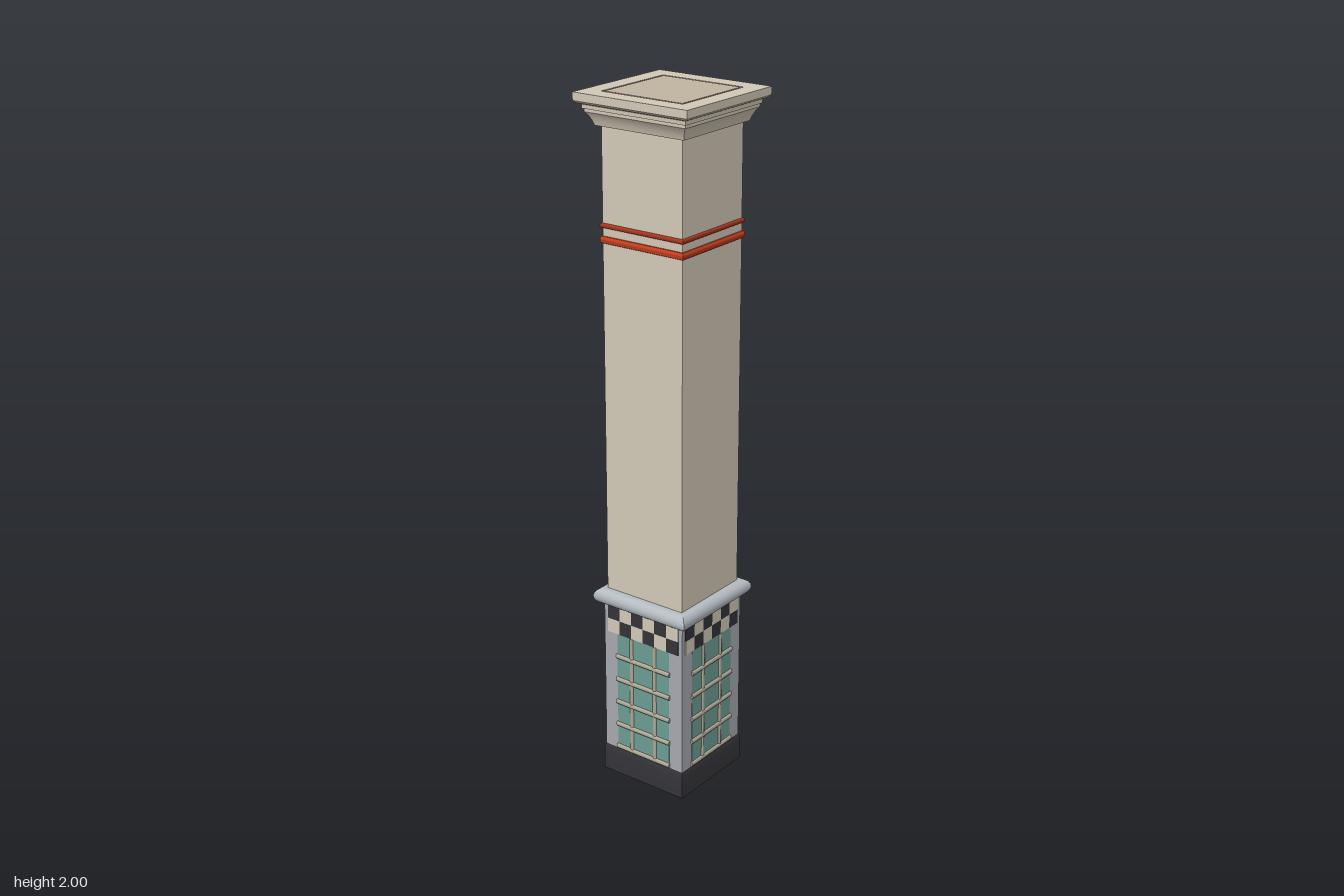
import * as THREE from 'three';
import { toCreasedNormals } from 'three/addons/utils/BufferGeometryUtils.js';

const mat = (color) => new THREE.MeshStandardMaterial({ color, roughness: 0.8 });
const cream = mat(0xd2c8b6), coreTan = mat(0xc0b4a0), red = mat(0xc8401f), darkRed = mat(0xa8351c);
const grey = mat(0xa6a9b0), paleGrey = mat(0xb4bbc1), black = mat(0x333338);
const green = mat(0x6b9c92), bar = mat(0xb0a897);

function add(parent, name, geometry, material, x = 0, y = 0, z = 0) {
  const mesh = new THREE.Mesh(geometry, material);
  mesh.name = name;
  mesh.position.set(x, y, z);
  parent.add(mesh);
  return mesh;
}

// Sweeps a [half width, height] profile round a square plan
function squareRing(profile) {
  const pts = profile.map(([r, y]) => new THREE.Vector2(r * Math.SQRT2, y));
  const g = new THREE.LatheGeometry(pts, 4);
  g.rotateY(Math.PI / 4);
  return toCreasedNormals(g, 0.6);
}

// Half-round edge between two heights
function roundEdge(r, y0, y1, depth, n = 8) {
  const pts = [];
  for (let i = 0; i <= n; i++) {
    const a = -Math.PI / 2 + (Math.PI * i) / n;
    pts.push([r - depth + Math.cos(a) * depth, (y0 + y1) / 2 + (Math.sin(a) * (y1 - y0)) / 2]);
  }
  return pts;
}

// One tiled face of the pedestal, facing +z
function createFace() {
  const face = new THREE.Group();
  add(face, 'tilePanel', new THREE.BoxGeometry(0.185, 0.375, 0.01), green, 0, 0.2675, 0.134);

  // Raised rounded bars dividing the tiles
  const upright = new THREE.CylinderGeometry(0.007, 0.007, 0.37, 8);
  for (const x of [-0.041, 0.041]) add(face, 'uprightBar', upright, bar, x, 0.27, 0.1365);
  const cross = new THREE.CylinderGeometry(0.008, 0.008, 0.19, 8).rotateZ(Math.PI / 2);
  for (let i = 0; i < 5; i++) add(face, 'crossBar', cross, bar, 0, 0.09 + i * 0.0735, 0.137);

  // Two-row chequered band
  const cell = new THREE.BoxGeometry(0.0415, 0.043, 0.01);
  for (let row = 0; row < 2; row++) {
    for (let col = 0; col < 6; col++) {
      const dark = (row + col) % 2 === 0;
      add(face, dark ? 'darkCheck' : 'lightCheck', cell, dark ? black : cream,
        (col - 2.5) * 0.0415, 0.5195 - row * 0.043, 0.1352);
    }
  }
  return face;
}

export function createModel() {
  const group = new THREE.Group();

  // Core and plain shaft
  add(group, 'core', new THREE.BoxGeometry(0.25, 1.995, 0.25), coreTan, 0, 1.0025, 0);
  add(group, 'shaft', new THREE.BoxGeometry(0.262, 1.439, 0.262), cream, 0, 1.2785, 0);

  // Base with softened top edge
  add(group, 'base', squareRing([
    [0.125, 0], [0.142, 0], [0.142, 0.07], [0.14, 0.08], [0.134, 0.086], [0.125, 0.086],
  ]), black);

  // Pedestal body and its four faces
  add(group, 'pedestal', new THREE.BoxGeometry(0.276, 0.48, 0.276), grey, 0, 0.31, 0);
  for (let i = 0; i < 4; i++) {
    const face = createFace();
    face.name = 'pedestalFace';
    face.rotation.y = (i * Math.PI) / 2;
    group.add(face);
  }

  // Rounded moulding on the pedestal
  add(group, 'pedestalMoulding', squareRing([
    [0.13, 0.541], ...roundEdge(0.161, 0.541, 0.588, 0.022), [0.13, 0.588],
  ]), paleGrey);

  // Red bands round the shaft
  add(group, 'lowerBand', squareRing([[0.13, 1.598], ...roundEdge(0.137, 1.598, 1.618, 0.005), [0.13, 1.618]]), red);
  add(group, 'upperBand', squareRing([[0.13, 1.64], ...roundEdge(0.137, 1.64, 1.653, 0.005), [0.13, 1.653]]), darkRed);

  // Stepped cornice
  add(group, 'cornice', squareRing([
    [0.13, 1.912], [0.143, 1.912], [0.147, 1.924], [0.154, 1.938], [0.162, 1.948], [0.162, 1.957],
    [0.166, 1.957], [0.167, 1.968], [0.177, 1.972], [0.183, 1.978], [0.183, 2], [0.131, 2], [0.131, 1.99],
  ]), cream);
  return group;
}
